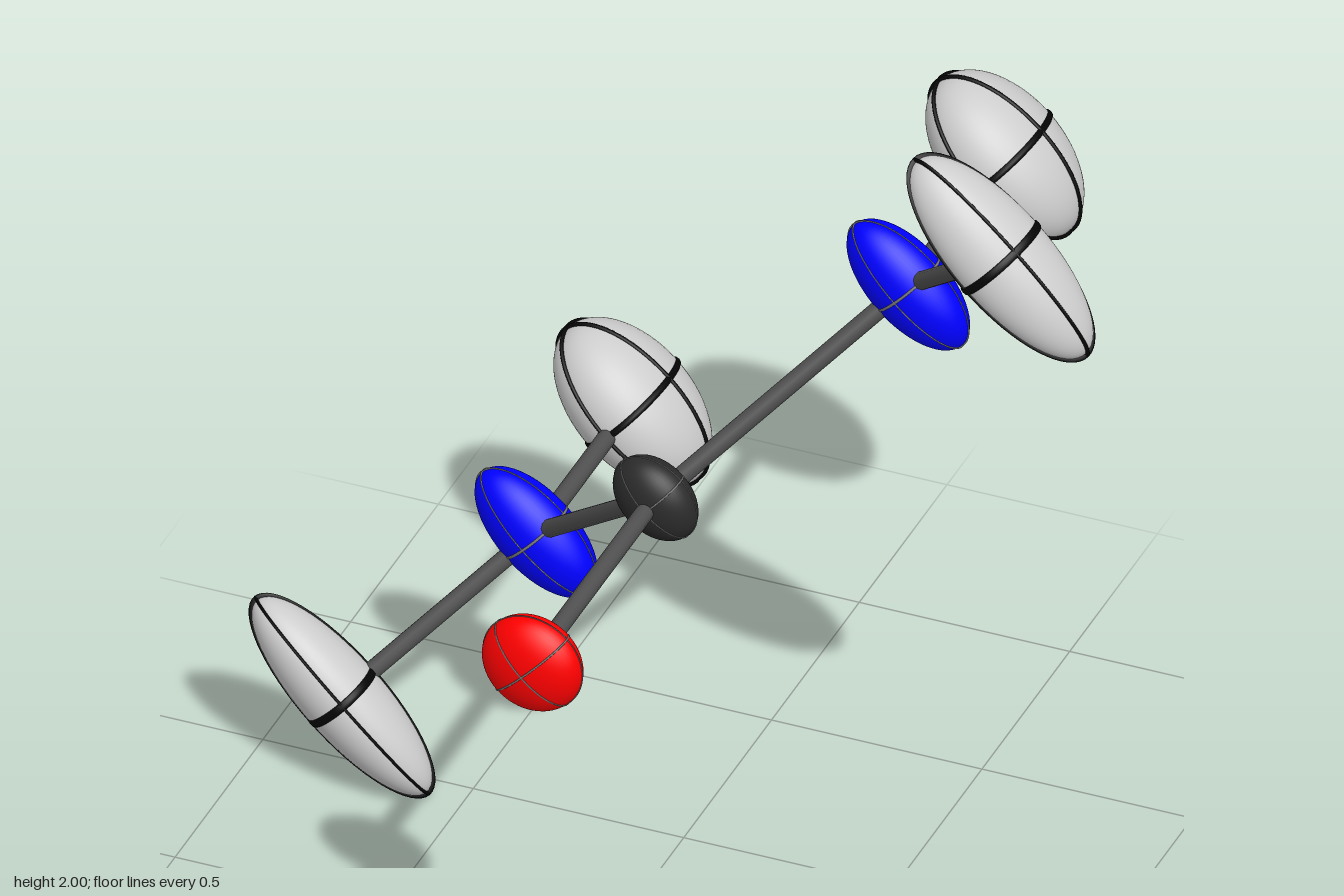
import * as THREE from 'three';

const mat = (color) => new THREE.MeshStandardMaterial({ color });

// The model lies in one plane: u runs diagonally up, w is z, v is the plane's normal
const U = new THREE.Vector3(1, 1, 0).normalize();
const V = new THREE.Vector3(-1, 1, 0).normalize();
const W = new THREE.Vector3(0, 0, 1);
const at = (u, z) => new THREE.Vector3(0, 1, z).addScaledVector(U, u);

const sphere = new THREE.SphereGeometry(1, 48, 32);

// Ellipsoid with three principal rings; radii run along [axis, V, across]
function atom(name, center, axis, radii, material, ringMaterial, ringTube) {
  const group = new THREE.Group();
  group.name = name;
  const body = new THREE.Mesh(sphere, material);
  body.name = name + 'Body';
  group.add(body);
  const ringGeometry = new THREE.TorusGeometry(1, ringTube, 8, 64);
  [[0, 0], [Math.PI / 2, 0], [0, Math.PI / 2]].forEach(([rx, ry]) => {
    const ring = new THREE.Mesh(ringGeometry, ringMaterial);
    ring.name = name + 'Ring';
    ring.rotation.set(rx, ry, 0);
    group.add(ring);
  });
  const across = new THREE.Vector3().crossVectors(axis, V);
  group.quaternion.setFromRotationMatrix(new THREE.Matrix4().makeBasis(axis, V, across));
  group.position.copy(center);
  group.scale.set(...radii);
  return group;
}

// Straight rod between two atom centres
function bond(name, a, b, material) {
  const dir = b.clone().sub(a);
  const rod = new THREE.Mesh(new THREE.CylinderGeometry(0.021, 0.021, dir.length(), 12), material);
  rod.name = name;
  rod.position.copy(a).add(b).multiplyScalar(0.5);
  rod.quaternion.setFromUnitVectors(new THREE.Vector3(0, 1, 0), dir.normalize());
  return rod;
}

export function createModel() {
  const model = new THREE.Group();
  model.name = 'molecule';

  const red = mat(0xff0000), blue = mat(0x0000ff), dark = mat(0x2a2a2a);
  const grey = mat(0xcccccc), rod = mat(0x505050);
  const black = mat(0x050505), fine = mat(0x777777);

  // Centre line: carbon and oxygen
  const carbon = at(0, 0.16), oxygen = at(0, 0.86);
  model.add(
    atom('carbonAtom', carbon, U, [0.085, 0.11, 0.065], dark, fine, 0.018),
    atom('oxygenAtom', oxygen, U, [0.115, 0.12, 0.067], red, fine, 0.018),
    bond('oxygenBond', carbon, oxygen, rod)
  );

  // Two mirrored arms, each a nitrogen with two hydrogens
  for (const s of [1, -1]) {
    const side = s > 0 ? 'upper' : 'lower';
    const nitrogen = at(s * 0.625, -0.22);
    const outer = at(s * 1.107, 0.07);
    const rear = at(s * 0.625, -0.77);
    const outerDir = outer.clone().sub(nitrogen).normalize();
    model.add(
      atom(side + 'NitrogenAtom', nitrogen, U, [0.092, 0.18, 0.08], blue, fine, 0.018),
      atom(side + 'OuterHydrogen', outer, outerDir, [0.09, 0.285, 0.112], grey, black, 0.035),
      atom(side + 'RearHydrogen', rear, W, [0.152, 0.22, 0.123], grey, black, 0.035),
      bond(side + 'NitrogenBond', carbon, nitrogen, rod),
      bond(side + 'OuterBond', nitrogen, outer, rod),
      bond(side + 'RearBond', nitrogen, rear, rod)
    );
  }
  return model;
}
